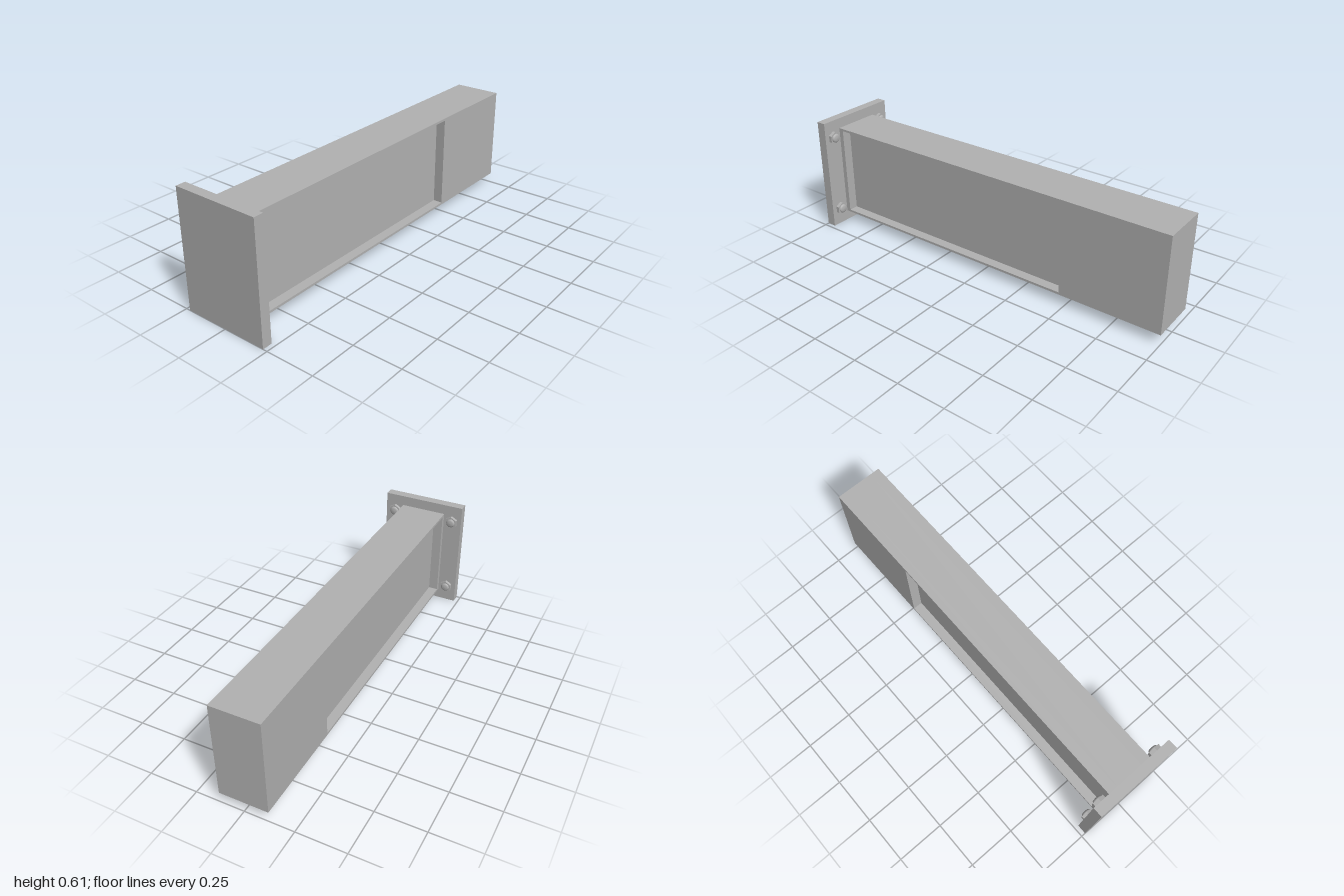
import * as THREE from 'three';

export function createModel() {
  const model = new THREE.Group();
  const steel = new THREE.MeshStandardMaterial({ color: 0xb2b2b2 });
  steel.name = 'grey steel';

  const add = (name, geometry, x, y, z, parent = model) => {
    const mesh = new THREE.Mesh(geometry, steel);
    mesh.name = name;
    mesh.position.set(x, y, z);
    parent.add(mesh);
    return mesh;
  };

  const midY = 0.305, plateBack = 0.95;
  const webHalf = 0.075, skin = 0.05;

  // End plate at the front
  add('endPlate', new THREE.BoxGeometry(0.455, 0.61, 0.05), 0, midY, 0.975);

  // Solid web running the whole length of the beam
  add('beamWeb', new THREE.BoxGeometry(webHalf * 2, 0.5, 1.95), 0, midY, -0.025);

  // Side layers with a long rectangular recess (shape x runs along -z)
  const rect = (path, x0, x1, y0, y1) =>
    path.moveTo(x0, y0).lineTo(x1, y0).lineTo(x1, y1).lineTo(x0, y1).closePath();
  const frame = rect(new THREE.Shape(), -plateBack, 1, 0.055, 0.555);
  frame.holes.push(rect(new THREE.Path(), -0.925, 0.47, 0.067, 0.543));
  const frameGeometry = new THREE.ExtrudeGeometry(frame, { depth: skin, bevelEnabled: false });
  frameGeometry.rotateY(Math.PI / 2);
  add('leftSideFrame', frameGeometry, webHalf, 0, 0);
  add('rightSideFrame', frameGeometry, -webHalf - skin, 0, 0);

  // Hex nuts with domed bolt ends on the back of the plate
  const nutGeometry = new THREE.CylinderGeometry(0.035, 0.035, 0.018, 6).toNonIndexed();
  nutGeometry.computeVertexNormals();
  nutGeometry.rotateX(-Math.PI / 2);
  const domeGeometry = new THREE.LatheGeometry([
    [0.024, 0], [0.024, 0.003], [0.021, 0.007], [0.014, 0.0095], [0, 0.0105],
  ].map(([r, h]) => new THREE.Vector2(r, h)), 24);
  domeGeometry.rotateX(-Math.PI / 2);
  for (const x of [-0.172, 0.172]) {
    for (const y of [midY - 0.212, midY + 0.212]) {
      const bolt = new THREE.Group();
      bolt.name = 'bolt';
      bolt.position.set(x, y, plateBack);
      add('hexNut', nutGeometry, 0, 0, -0.009, bolt);
      add('boltEnd', domeGeometry, 0, 0, -0.018, bolt);
      model.add(bolt);
    }
  }

  return model;
}
